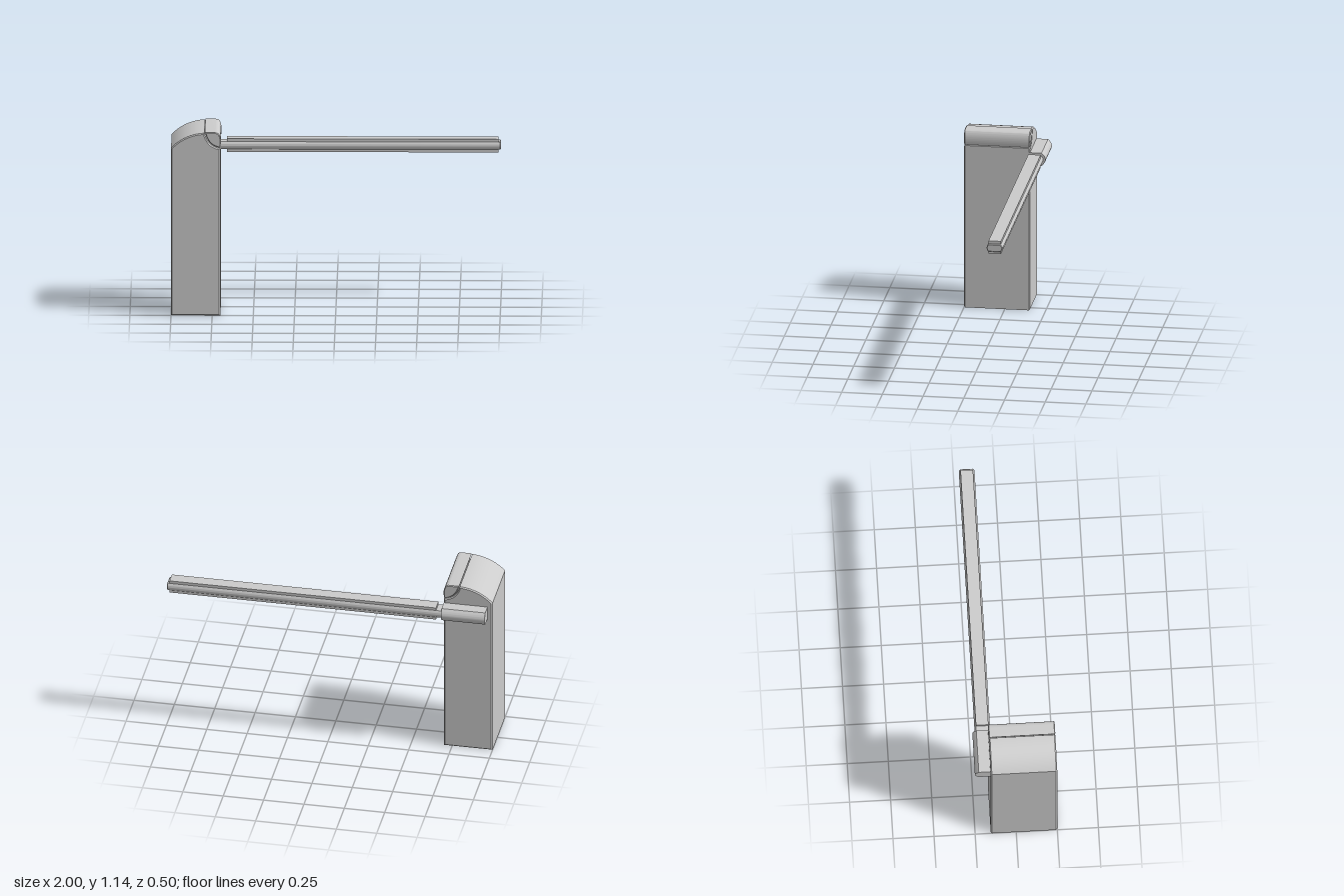
import * as THREE from 'three';
import { toCreasedNormals } from 'three/addons/utils/BufferGeometryUtils.js';

const material = new THREE.MeshStandardMaterial({ color: 0xcccccc });

// Extrude a shape by depth, with a small bevel kept inside its outline
function extrude(shape, depth, bevel) {
  const geometry = new THREE.ExtrudeGeometry(shape, {
    depth: depth - 2 * bevel,
    bevelEnabled: bevel > 0,
    bevelSize: bevel,
    bevelThickness: bevel,
    bevelOffset: -bevel,
    bevelSegments: 1,
    curveSegments: 16,
  });
  geometry.translate(0, 0, bevel);
  return geometry;
}

function createPart(name, geometry) {
  const mesh = new THREE.Mesh(toCreasedNormals(geometry, 0.5), material);
  mesh.name = name;
  return mesh;
}

// Part seen from the front, running from zBack to zFront
function alongZ(name, shape, zBack, zFront, bevel) {
  return createPart(name, extrude(shape, zFront - zBack, bevel).translate(0, 0, zBack));
}

// Part with a cross-section in (-z, y), running from x0 to x1
function alongX(name, shape, x0, x1, bevel = 0) {
  return createPart(name, extrude(shape, x1 - x0, bevel).rotateY(Math.PI / 2).translate(x0, 0, 0));
}

// Cross-section with flat top and bottom; each side may bulge outwards
function barSection(u0, u1, y0, y1, bulge0, bulge1) {
  const mid = (y0 + y1) / 2;
  const shape = new THREE.Shape();
  shape.moveTo(u0, y0);
  shape.lineTo(u1, y0);
  shape.quadraticCurveTo(u1 + 2 * bulge1, mid, u1, y1);
  shape.lineTo(u0, y1);
  if (bulge0 > 0) shape.quadraticCurveTo(u0 - 2 * bulge0, mid, u0, y0);
  shape.closePath();
  return shape;
}

export function createModel() {
  const group = new THREE.Group();
  group.name = 'barrierGate';

  // Cabinet with a domed top and a scooped corner
  const cabinet = new THREE.Shape();
  cabinet.moveTo(-1, 0);
  cabinet.lineTo(-0.7, 0);
  cabinet.lineTo(-0.7, 1.038);
  cabinet.bezierCurveTo(-0.755, 1.045, -0.785, 1.08, -0.797, 1.133);
  cabinet.bezierCurveTo(-0.87, 1.13, -0.945, 1.1, -1, 1.04);
  cabinet.closePath();
  group.add(alongZ('cabinet', cabinet, -0.155, 0.25, 0.007));

  // Rounded lamp cover filling the scooped corner
  const lamp = new THREE.Shape();
  lamp.moveTo(-0.702, 1.043);
  lamp.bezierCurveTo(-0.695, 1.07, -0.694, 1.1, -0.708, 1.125);
  lamp.quadraticCurveTo(-0.713, 1.135, -0.73, 1.136);
  lamp.lineTo(-0.793, 1.136);
  lamp.bezierCurveTo(-0.782, 1.085, -0.752, 1.05, -0.702, 1.043);
  group.add(alongZ('lampCover', lamp, -0.155, 0.25, 0.005));

  // Arm holder on the back of the cabinet
  group.add(alongX('armHolder', barSection(0.15, 0.226, 0.93, 1.012, 0, 0.024), -0.97, -0.7));

  // Boom arm: a bulging core inside a flat-topped sleeve
  group.add(alongX('armCore', barSection(0.15, 0.226, 0.947, 0.994, 0.01, 0.01), -0.71, 1, 0.004));
  group.add(alongX('armSleeve', barSection(0.15, 0.226, 0.93, 1.012, 0, 0), -0.665, 0.985));

  return group;
}
